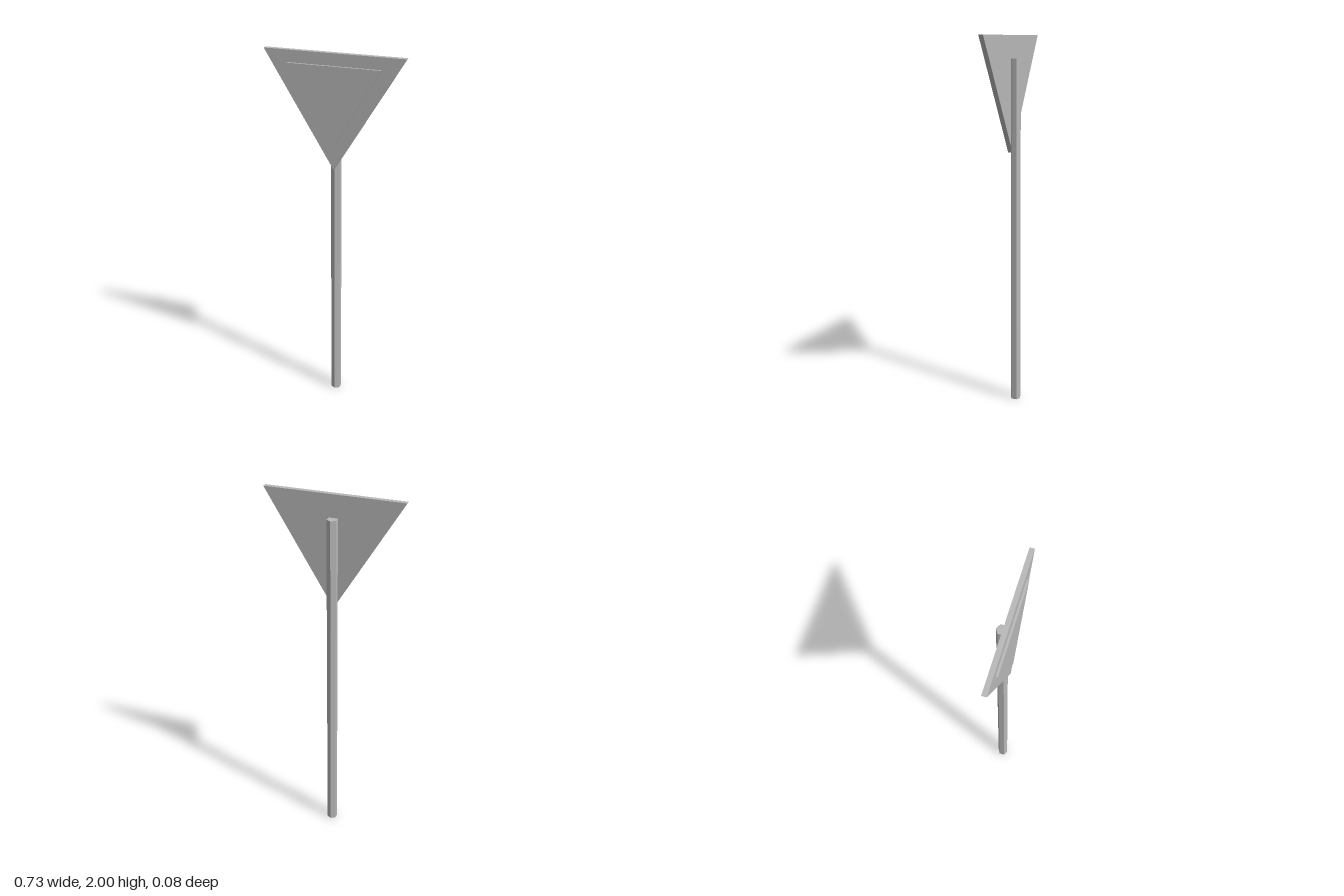
import * as THREE from 'three';

const grey = new THREE.MeshStandardMaterial({ color: 0xb8b8b8, flatShading: true });
grey.name = 'grey';

// Downward-pointing triangular plate, from z = back to z = back + depth
function trianglePlate(name, halfWidth, top, bottom, back, depth) {
  const shape = new THREE.Shape([
    new THREE.Vector2(0, bottom),
    new THREE.Vector2(halfWidth, top),
    new THREE.Vector2(-halfWidth, top),
  ]);
  const geometry = new THREE.ExtrudeGeometry(shape, { depth, bevelEnabled: false });
  geometry.translate(0, 0, back);
  const mesh = new THREE.Mesh(geometry, grey);
  mesh.name = name;
  return mesh;
}

export function createModel() {
  const model = new THREE.Group();
  model.name = 'yieldSign';

  // Hexagonal pole with corners facing front and back
  const poleHeight = 1.88;
  const pole = new THREE.Mesh(new THREE.CylinderGeometry(0.0285, 0.0285, poleHeight, 6), grey);
  pole.name = 'pole';
  pole.position.set(0, poleHeight / 2, -0.0135);
  model.add(pole);

  // Sign board and the raised panel on its front
  model.add(trianglePlate('signBoard', 0.366, 2, 1.39, 0.005, 0.025));
  model.add(trianglePlate('raisedPanel', 0.244, 1.937, 1.515, 0.03, 0.011));

  return model;
}
